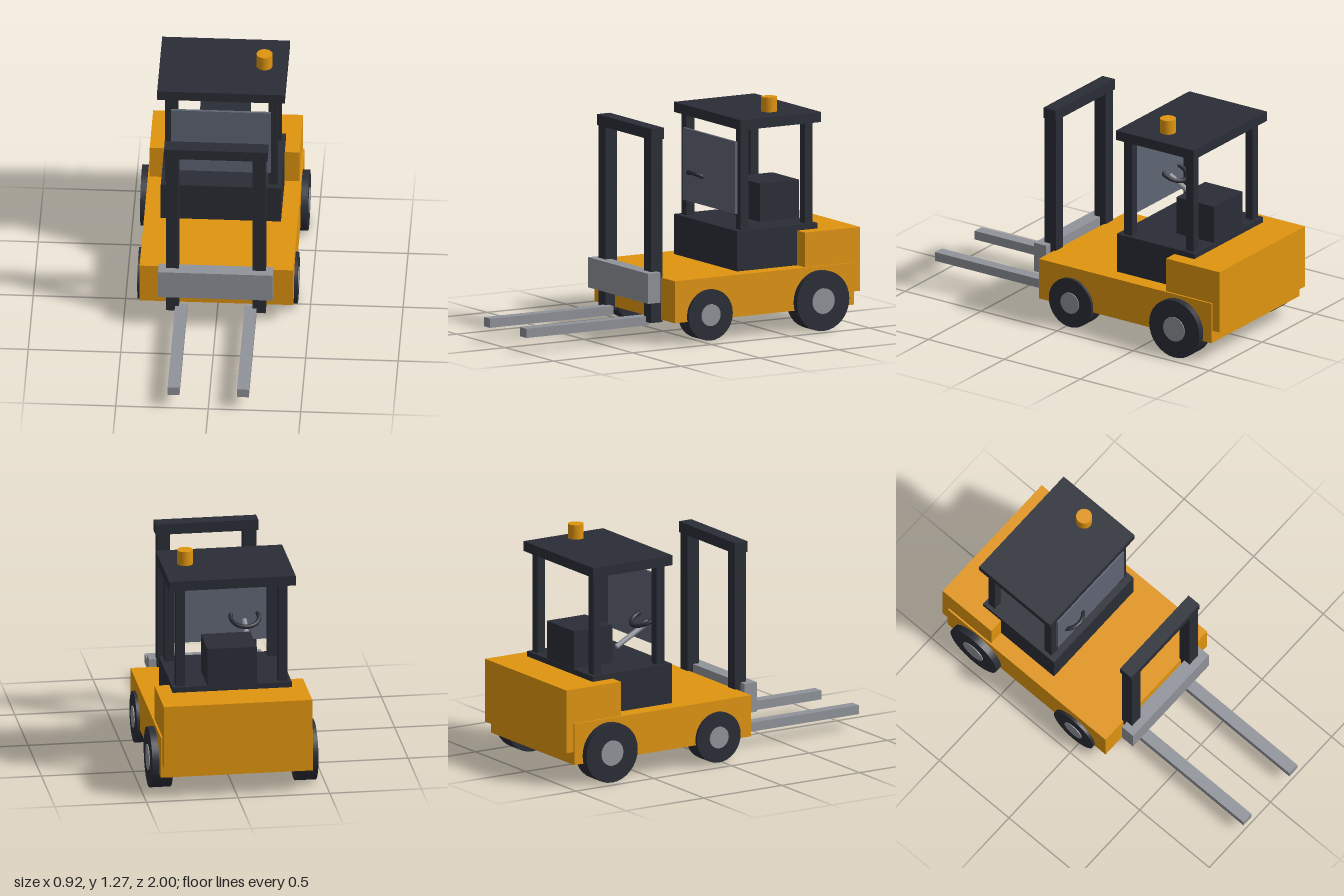
import * as THREE from 'three';

const mat = (color) => new THREE.MeshStandardMaterial({ color });

export function createModel() {
  const model = new THREE.Group();
  model.name = 'forklift';
  const orange = mat(0xe0950f), dark = mat(0x2a2d36), steel = mat(0x90939a), glass = mat(0x5f6574);

  const add = (name, geometry, material, x = 0, y = 0, z = 0) => {
    const mesh = new THREE.Mesh(geometry, material);
    mesh.name = name;
    mesh.position.set(x, y, z);
    model.add(mesh);
    return mesh;
  };
  // Box given by its extents along each axis
  const box = (name, material, [x0, x1], [y0, y1], [z0, z1]) =>
    add(name, new THREE.BoxGeometry(x1 - x0, y1 - y0, z1 - z0), material,
      (x0 + x1) / 2, (y0 + y1) / 2, (z0 + z1) / 2);

  // Chassis, counterweight and cab
  box('chassis', orange, [-0.415, 0.415], [0.12, 0.35], [-0.955, 0.18]);
  box('counterweight', orange, [-0.405, 0.405], [0.19, 0.54], [-1, -0.65]);
  box('cabBase', dark, [-0.325, 0.325], [0.35, 0.57], [-0.78, -0.27]);
  box('seat', dark, [-0.135, 0.135], [0.57, 0.78], [-0.777, -0.53]);
  box('windscreen', glass, [-0.27, 0.27], [0.655, 1.05], [-0.305, -0.29]);
  box('roof', dark, [-0.345, 0.345], [1.125, 1.18], [-0.79, -0.28]);
  add('beacon', new THREE.CylinderGeometry(0.043, 0.043, 0.08, 24), orange, 0.222, 1.23, -0.535);

  // Lifting mast and carriage
  box('mastCrossbar', dark, [-0.28, 0.28], [1.11, 1.17], [0.165, 0.245]);
  box('carriage', steel, [-0.31, 0.31], [0.22, 0.385], [0.205, 0.285]);

  // Paired parts on both sides
  for (const s of [1, -1]) {
    const side = s > 0 ? 'left' : 'right';
    const span = (a, b) => (s > 0 ? [a, b] : [-b, -a]);
    box(side + 'MastRail', dark, span(0.2, 0.27), [0.105, 1.12], [0.17, 0.243]);
    box(side + 'Fork', steel, span(0.155, 0.22), [0.085, 0.135], [0.22, 1]);
    box(side + 'FrontPost', dark, span(0.255, 0.305), [0.57, 1.13], [-0.355, -0.305]);
    box(side + 'RearPost', dark, span(0.255, 0.305), [0.57, 1.13], [-0.76, -0.712]);

    // Wheels: name, radius, hub radius, inner x, outer x, height, z
    for (const [name, r, hub, x0, x1, y, z] of [
      ['FrontWheel', 0.14, 0.06, 0.322, 0.432, 0.148, -0.037],
      ['RearWheel', 0.165, 0.07, 0.34, 0.453, 0.165, -0.737],
    ]) {
      const tyre = new THREE.CylinderGeometry(r, r, x1 - x0, 32).rotateZ(Math.PI / 2);
      add(side + name + 'Tyre', tyre, dark, s * (x0 + x1) / 2, y, z);
      const cap = new THREE.CylinderGeometry(hub, hub, x1 - x0 + 0.01, 24).rotateZ(Math.PI / 2);
      add(side + name + 'Hub', cap, steel, s * (x0 + x1) / 2, y, z);
    }
  }

  // Steering column and tilted wheel
  const top = new THREE.Vector3(-0.135, 0.765, -0.3), foot = new THREE.Vector3(-0.135, 0.655, -0.505);
  const path = new THREE.LineCurve3(top, foot);
  const column = add('steeringColumn',
    new THREE.CylinderGeometry(0.015, 0.015, path.getLength(), 16), steel);
  column.position.copy(path.getPoint(0.5));
  column.quaternion.setFromUnitVectors(new THREE.Vector3(0, 1, 0), top.clone().sub(foot).normalize());
  const wheel = add('steeringWheel', new THREE.TorusGeometry(0.077, 0.012, 10, 32), dark, -0.135, 0.793, -0.325);
  wheel.rotation.x = Math.PI / 2 - 0.45;

  return model;
}
